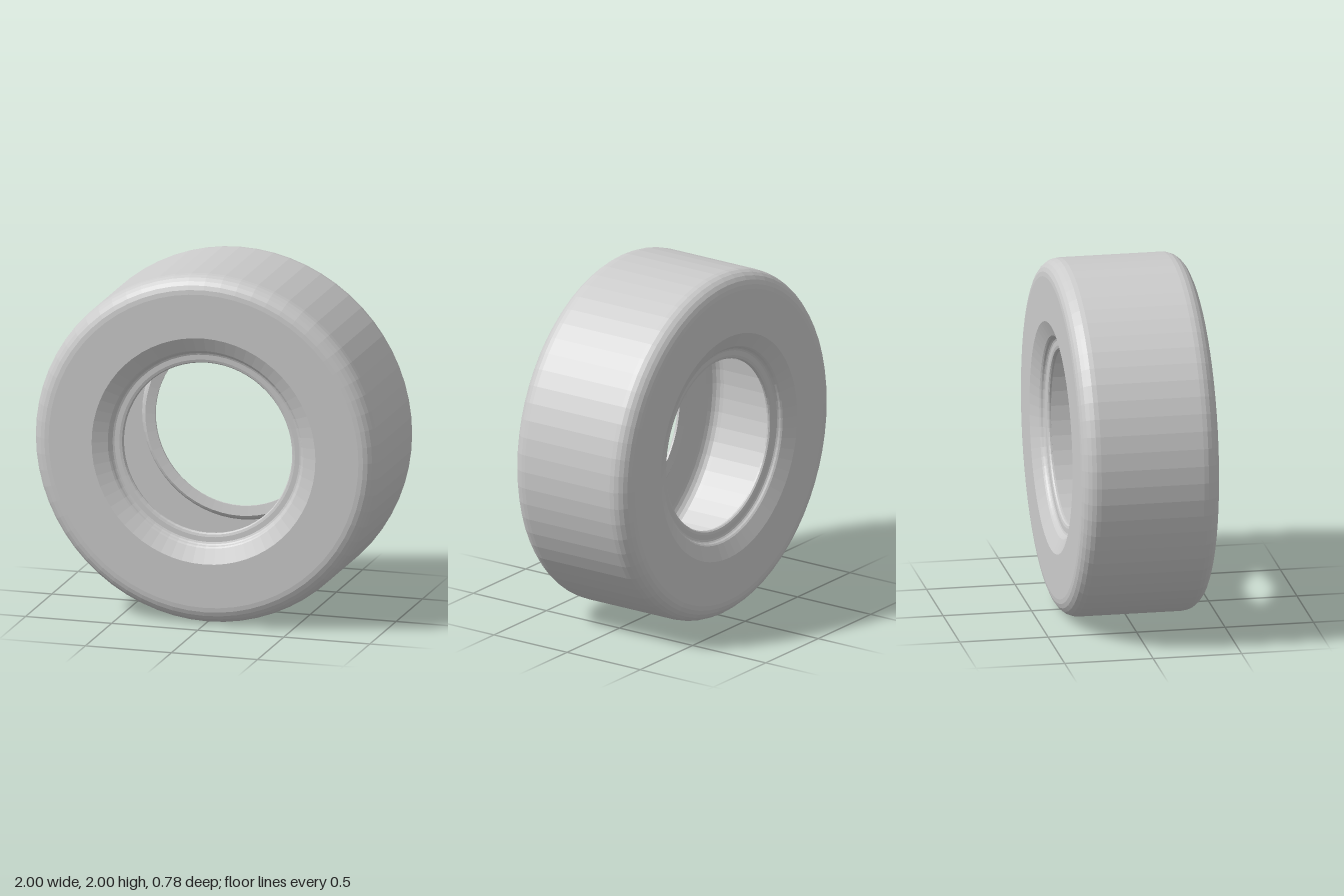
import * as THREE from 'three';

// Quarter-round corner points (radius, depth) from angle a0 to a1
function arc(r, z, rad, a0, a1, steps) {
  const pts = [];
  for (let i = 0; i <= steps; i++) {
    const a = THREE.MathUtils.degToRad(a0 + ((a1 - a0) * i) / steps);
    pts.push([r + rad * Math.cos(a), z + rad * Math.sin(a)]);
  }
  return pts;
}

export function createModel() {
  const group = new THREE.Group();
  group.name = 'tire';
  const material = new THREE.MeshStandardMaterial({ color: 0xcccccc, flatShading: true });

  // Front half of the cross-section, from tread round the bead into the cavity
  const half = [
    ...arc(0.9, 0.29, 0.1, 0, 90, 6), // shoulder
    [0.65, 0.39], // flat sidewall
    [0.568, 0.35], // shallow bevel towards the bead
    [0.56, 0.342],
    [0.555, 0.332],
    [0.548, 0.325],
    [0.538, 0.321], // bead seat
    [0.51, 0.32],
    [0.496, 0.316],
    [0.49, 0.308], // opening edge
    [0.49, 0.298],
    [0.545, 0.288], // raised inner bead
    [0.56, 0.298],
    [0.575, 0.325],
    ...arc(0.78, 0.255, 0.07, 90, 0, 5), // cavity fillet
  ];

  // Mirror to the back and close the loop
  const back = half.map(([r, z]) => [r, -z]).reverse();
  const profile = [...half, ...back, half[0]].map(([r, z]) => new THREE.Vector2(r, z));

  const geometry = new THREE.LatheGeometry(profile, 64);
  geometry.rotateX(Math.PI / 2); // wheel axis along z
  const tire = new THREE.Mesh(geometry, material);
  tire.name = 'tireCasing';
  tire.position.y = 1;
  group.add(tire);
  return group;
}
